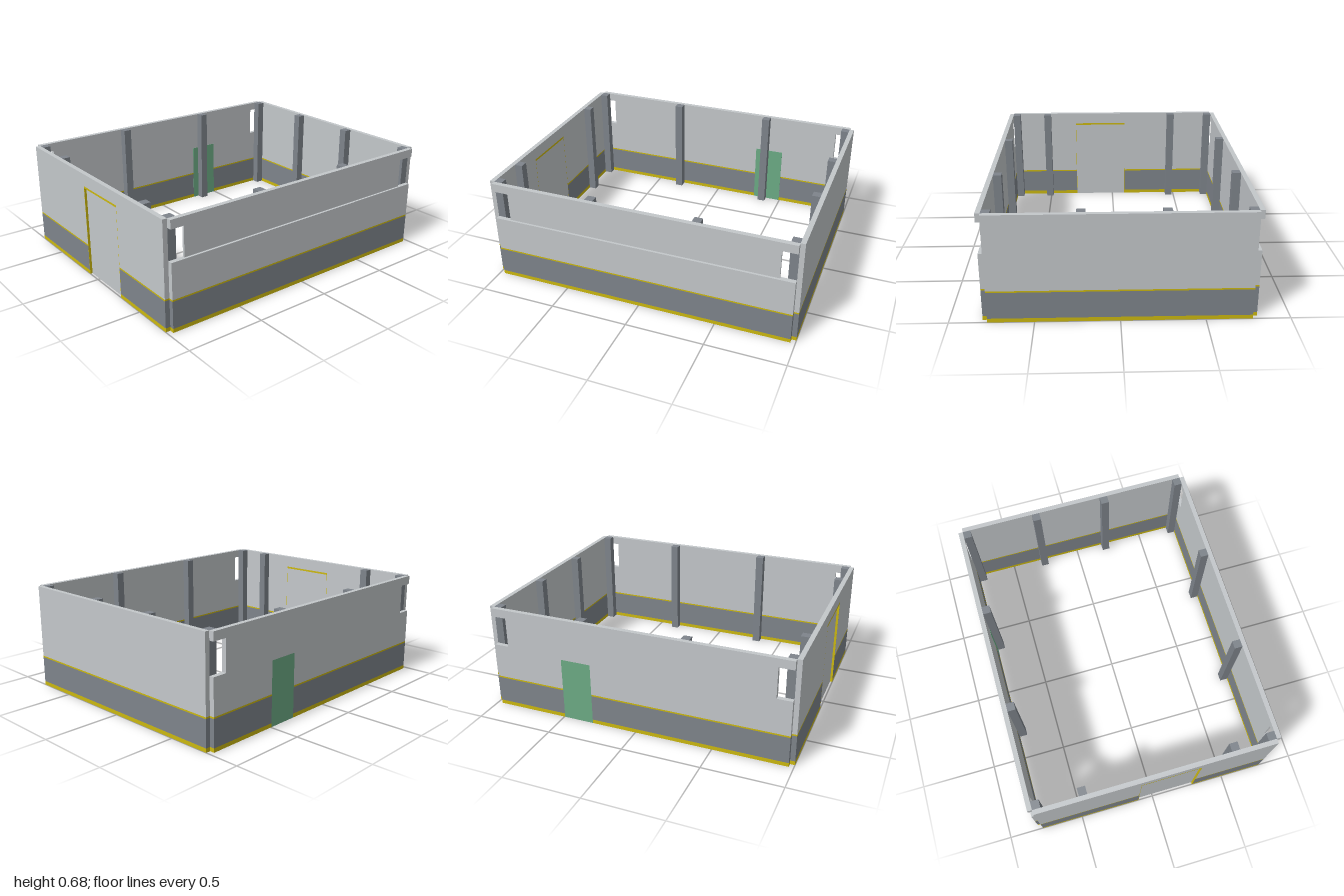
import * as THREE from 'three';

const lightGray = new THREE.MeshStandardMaterial({ name: 'light gray', color: 0xc3c7ca });
const slateGray = new THREE.MeshStandardMaterial({ name: 'slate gray', color: 0x7e848b });
const yellow = new THREE.MeshStandardMaterial({ name: 'yellow', color: 0xcbb80f });
const green = new THREE.MeshStandardMaterial({ name: 'green', color: 0x6cab85 });

const TOP = 0.68;
const X_IN = 0.775, X_OUT = 0.805; // side walls
const Z_IN = 0.97, Z_OUT = 1.0;    // front and back walls
const WIN_LOW = 0.43, WIN_HIGH = 0.625, WIN_END = 0.875;

// Box given by its limits on each axis
function box(parent, name, material, [x0, x1], [y0, y1], [z0, z1]) {
  const mesh = new THREE.Mesh(new THREE.BoxGeometry(x1 - x0, y1 - y0, z1 - z0), material);
  mesh.position.set((x0 + x1) / 2, (y0 + y1) / 2, (z0 + z1) / 2);
  mesh.name = name;
  parent.add(mesh);
}

// Painted layers at the foot of every wall
const bands = [
  ['baseStripe', yellow, [0, 0.025]],
  ['lowerBand', slateGray, [0.025, 0.195]],
  ['upperStripe', yellow, [0.195, 0.205]],
];

function wallGroup(parent, name) {
  const group = new THREE.Group();
  group.name = name;
  parent.add(group);
  return group;
}

export function createModel() {
  const model = new THREE.Group();
  model.name = 'walledRoom';

  // Back wall
  const back = wallGroup(model, 'backWall');
  const backZ = [-Z_OUT, -Z_IN];
  for (const [name, mat, y] of bands) box(back, name, mat, [-X_IN, X_IN], y, backZ);
  box(back, 'upperWall', lightGray, [-X_IN, X_IN], [0.205, TOP], backZ);

  // Front wall with its large doorway
  const front = wallGroup(model, 'frontWall');
  const frontZ = [Z_IN, Z_OUT];
  const doorX = [-0.1, 0.29], doorTop = 0.6, trim = 0.002;
  for (const x of [[-X_IN, doorX[0]], [doorX[1], X_IN]]) {
    for (const [name, mat, y] of bands) box(front, name, mat, x, y, frontZ);
    box(front, 'upperWall', lightGray, x, [0.205, doorTop], frontZ);
  }
  box(front, 'wallAboveDoor', lightGray, [-X_IN, X_IN], [doorTop, TOP], frontZ);
  box(front, 'doorLintel', yellow, doorX, [0.587, doorTop], frontZ);
  box(front, 'rightDoorJamb', yellow, [doorX[0], doorX[0] + trim], [0, 0.587], frontZ);
  box(front, 'leftDoorJamb', yellow, [doorX[1] - trim, doorX[1]], [0, 0.587], frontZ);
  box(front, 'frontDoor', lightGray, [doorX[0] + trim, doorX[1] - trim], [0, 0.587], [Z_IN, 0.985]);

  // Side wall on +x: long window opening with a recessed panel
  const left = wallGroup(model, 'leftWall');
  const leftX = [X_IN, X_OUT], sideZ = [-Z_IN, Z_IN];
  for (const [name, mat, y] of bands) box(left, name, mat, leftX, y, sideZ);
  box(left, 'wallBelowWindow', lightGray, leftX, [0.205, WIN_LOW], sideZ);
  box(left, 'topRail', lightGray, leftX, [WIN_HIGH, TOP], sideZ);
  box(left, 'windowPanel', lightGray, [X_IN, 0.79], [WIN_LOW, WIN_HIGH], [-WIN_END, WIN_END]);

  // Side wall on -x: small openings at both ends and a side door
  const right = wallGroup(model, 'rightWall');
  const rightX = [-X_OUT, -X_IN];
  const sideDoorZ = [-0.495, -0.295], sideDoorTop = 0.41;
  for (const z of [[-Z_IN, sideDoorZ[0]], [sideDoorZ[1], Z_IN]]) {
    for (const [name, mat, y] of bands) box(right, name, mat, rightX, y, z);
    box(right, 'wallBesideDoor', lightGray, rightX, [0.205, sideDoorTop], z);
  }
  box(right, 'wallAboveDoor', lightGray, rightX, [sideDoorTop, WIN_LOW], sideZ);
  box(right, 'wallBetweenWindows', lightGray, rightX, [WIN_LOW, WIN_HIGH], [-WIN_END, WIN_END]);
  box(right, 'topRail', lightGray, rightX, [WIN_HIGH, TOP], sideZ);
  box(right, 'sideDoor', green, [-X_OUT, -X_IN + 0.002], [0, sideDoorTop], sideDoorZ);

  // Square columns along the inside of the walls
  const columns = wallGroup(model, 'columns');
  const h = 0.026, cx = X_IN - h, cz = Z_IN - h;
  const spots = [[-0.265, -cz], [0.22, -cz], [-0.46, cz], [0.51, cz]];
  for (const sx of [-1, 1]) for (const z of [-cz, -0.366, 0.316, cz]) spots.push([sx * cx, z]);
  for (const [x, z] of spots) {
    box(columns, 'column', slateGray, [x - h, x + h], [0, TOP], [z - h, z + h]);
  }

  return model;
}
